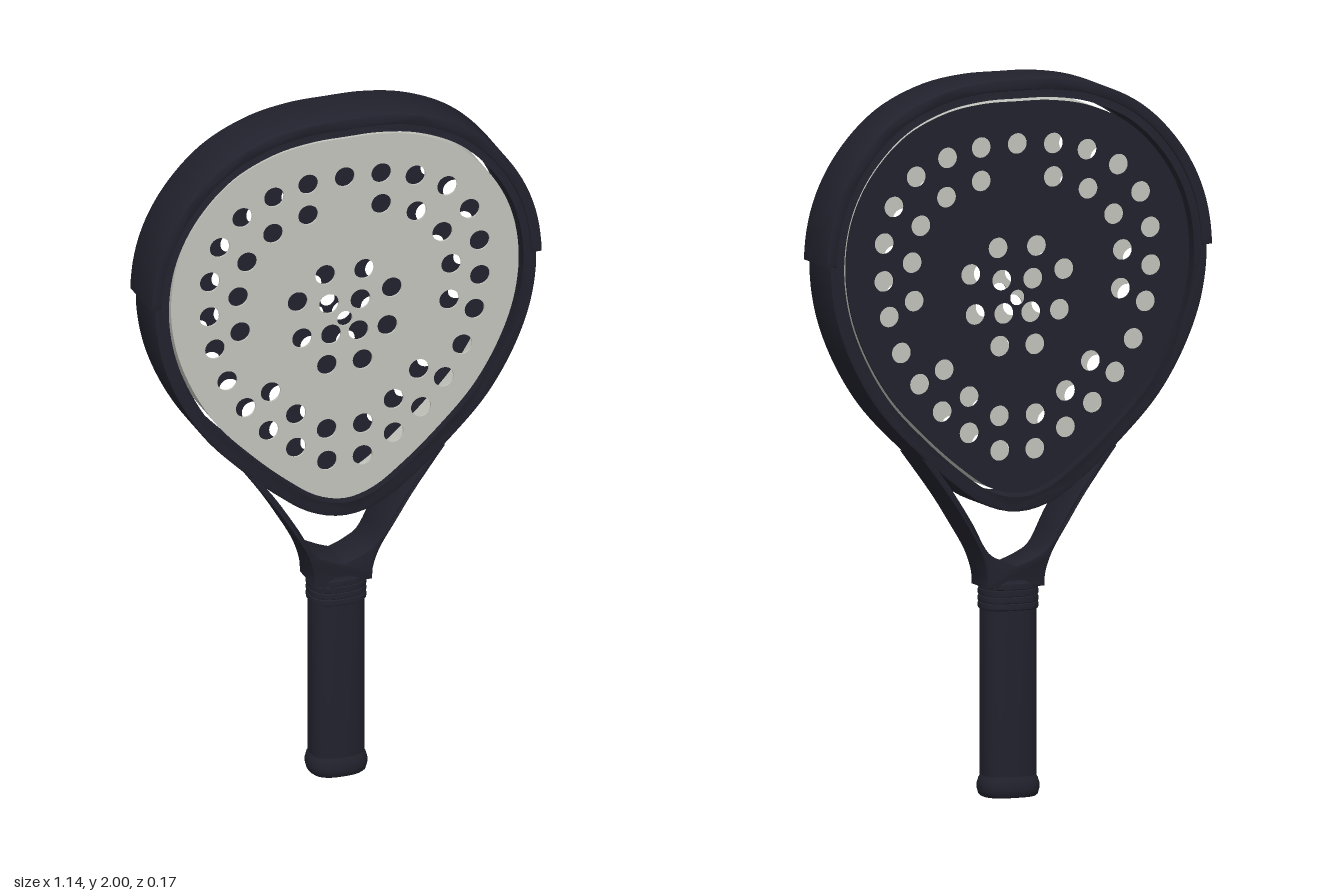
import * as THREE from 'three';
import { toCreasedNormals } from 'three/addons/utils/BufferGeometryUtils.js';

const dark = new THREE.MeshStandardMaterial({ color: 0x22222e, side: THREE.DoubleSide });
dark.name = 'charcoal';
const grey = new THREE.MeshStandardMaterial({ color: 0xc3c4bc, side: THREE.DoubleSide });
grey.name = 'warmGrey';

const V = (x, y) => new THREE.Vector2(x, y);

// Smooth open line through a few points
const smooth = (pts, n) => new THREE.SplineCurve(pts.map(p => V(...p))).getPoints(n);

// Teardrop outline of the hitting face: right half from top to bottom, then mirrored
function faceOutline() {
  const half = [[0, 1.937], [0.1, 1.935], [0.21, 1.915], [0.33, 1.858], [0.43, 1.755], [0.488, 1.64], [0.509, 1.51],
    [0.495, 1.38], [0.45, 1.255], [0.375, 1.13], [0.276, 1.024], [0.17, 0.93], [0.08, 0.868], [0, 0.848]];
  const left = half.slice(1, -1).reverse().map(([x, y]) => [-x, y]);
  const curve = new THREE.CatmullRomCurve3([...half, ...left].map(([x, y]) => new THREE.Vector3(x, y, 0)), true);
  return curve.getSpacedPoints(144).slice(0, -1).map(p => V(p.x, p.y));
}

// Move a closed clockwise outline outwards by d
function offset(pts, d) {
  const n = pts.length;
  return pts.map((p, i) => {
    const t = pts[(i + 1) % n].clone().sub(pts[(i + n - 1) % n]).normalize();
    return V(p.x - t.y * d, p.y + t.x * d);
  });
}

// Extrude a shape between two z values, with a small edge bevel
function slab(shape, z0, z1, bevel = 0) {
  const geo = new THREE.ExtrudeGeometry(shape, {
    depth: z1 - z0 - 2 * bevel, bevelEnabled: bevel > 0, bevelSize: bevel,
    bevelThickness: bevel, bevelOffset: -bevel, bevelSegments: 2, curveSegments: 18,
  });
  return geo.translate(0, 0, z0 + bevel);
}

function ring(outer, inner) {
  const shape = new THREE.Shape(outer);
  shape.holes.push(new THREE.Path(inner));
  return shape;
}

// Lathed grip part with a rounded, slightly squared cross-section
function gripPart(profile) {
  const geo = new THREE.LatheGeometry(profile.map(p => V(...p)), 40);
  const pos = geo.attributes.position;
  for (let i = 0; i < pos.count; i++) {
    const x = pos.getX(i), z = pos.getZ(i), r = Math.hypot(x, z);
    if (r < 1e-6) continue;
    const k = 1 / Math.pow(Math.pow(Math.abs(x / r), 2.7) + Math.pow(Math.abs(z / r), 2.7), 1 / 2.7);
    pos.setX(i, x * k);
    pos.setZ(i, z * k * 0.81);
  }
  return toCreasedNormals(geo, 0.7);
}

export function createModel() {
  const model = new THREE.Group();
  model.name = 'padelRacket';
  const add = (name, geo, mat) => {
    const mesh = new THREE.Mesh(geo, mat);
    mesh.name = name;
    model.add(mesh);
  };
  const outline = faceOutline();

  // Perforated front and back faces
  const holePairs = [
    [0.107, 1.815], [0.207, 1.792], [0.3, 1.745], [0.366, 1.665], [0.395, 1.565], [0.396, 1.46], [0.38, 1.36],
    [0.344, 1.258], [0.29, 1.168], [0.223, 1.088], [0.143, 1.024], [0.052, 0.97],
    [0.107, 1.722], [0.21, 1.683], [0.286, 1.608], [0.312, 1.507], [0.306, 1.4], [0.217, 1.204], [0.143, 1.125],
    [0.053, 1.066], [0.057, 1.533], [0.138, 1.464], [0.046, 1.443], [0.125, 1.352], [0.04, 1.35], [0.052, 1.26],
  ];
  const face = new THREE.Shape(outline);
  const hole = (x, y, r = 0.029) => face.holes.push(new THREE.Path().absarc(x, y, r, 0, Math.PI * 2, true));
  for (const [x, y] of holePairs) { hole(x, y); hole(-x, y); }
  hole(0, 1.82);
  hole(0, 1.392, 0.022);
  add('frontFace', slab(face, 0.064, 0.07), grey);
  add('backFace', slab(face, -0.07, -0.064), dark);

  // Wall closing the hollow core between the faces
  add('coreWall', toCreasedNormals(slab(ring(outline, offset(outline, -0.006)), -0.064, 0.064), 0.6), grey);

  // Frame around the head, separated from the faces by a narrow gap
  add('headFrame', toCreasedNormals(
    slab(ring(offset(outline, 0.05), offset(outline, 0.016)), -0.08, 0.08, 0.006), 0.6), dark);

  // Bumper over the upper half of the frame
  const upper = d => offset(outline, d).filter(p => p.y > 1.505).sort((a, b) =>
    Math.atan2(a.x, a.y - 1.4) - Math.atan2(b.x, b.y - 1.4));
  const bumper = new THREE.Shape([...upper(0.063), ...upper(0.032).reverse()]);
  add('bumper', toCreasedNormals(slab(bumper, -0.086, 0.086, 0.004), 0.6), dark);

  // Open throat: two thin arms meeting in the neck, thinner towards the grip
  const outerArm = smooth([[0.085, 0.585], [0.087, 0.625], [0.106, 0.685], [0.149, 0.762], [0.202, 0.845], [0.29, 0.965]], 24);
  const innerArm = smooth([[0.255, 0.945], [0.205, 0.88], [0.141, 0.78], [0.09, 0.692], [0.045, 0.662], [0, 0.645]], 24);
  const mirror = pts => pts.map(p => V(-p.x, p.y)).reverse();
  const throat = slab(new THREE.Shape([...outerArm, ...innerArm, ...mirror(innerArm).slice(1), ...mirror(outerArm)]),
    -0.08, 0.08, 0.003);
  const pos = throat.attributes.position;
  for (let i = 0; i < pos.count; i++) {
    const t = THREE.MathUtils.smoothstep(pos.getY(i), 0.58, 0.79);
    pos.setZ(i, pos.getZ(i) * (0.74 + 0.25 * t));
  }
  add('throat', toCreasedNormals(throat, 0.6), dark);

  // Grip, ribbed collar and flared butt cap
  add('grip', gripPart([[0.074, 0.04], [0.077, 0.07], [0.077, 0.53]]), dark);
  const ribs = [[0.076, 0.52]];
  for (let i = 0; i < 4; i++) {
    const y = 0.523 + i * 0.019;
    ribs.push([0.081, y], [0.082, y + 0.008], [0.081, y + 0.015], [0.078, y + 0.017]);
  }
  add('collar', gripPart([...ribs, [0.076, 0.605], [0, 0.61]]), dark);
  add('buttCap', gripPart([[0, 0], [0.074, 0], [0.08, 0.005], [0.084, 0.02], [0.084, 0.036], [0.08, 0.05], [0.075, 0.06]]), dark);

  return model;
}
